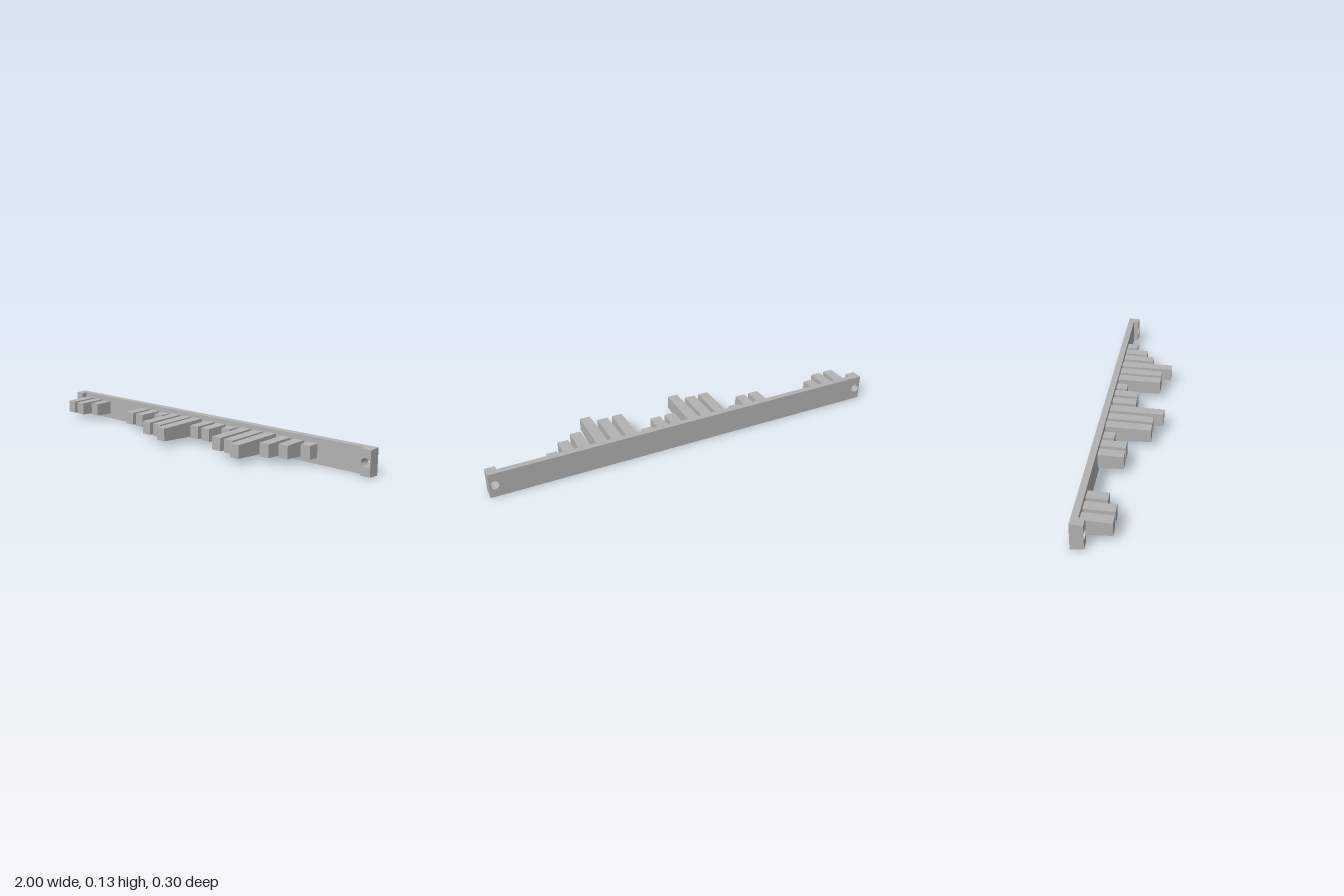
import * as THREE from 'three';

const BACK = -0.149, PLATE_FRONT = -0.118, END_FRONT = -0.09;
const MID_Y = 0.0635, HALF_H = 0.0635, HOLE_X = 0.975;

// Extruded slab with drilled holes, narrowing slightly towards the front
function taperedSlab(x0, x1, z0, z1, holeXs) {
  const shape = new THREE.Shape();
  shape.moveTo(x0, -HALF_H);
  shape.lineTo(x1, -HALF_H);
  shape.lineTo(x1, HALF_H);
  shape.lineTo(x0, HALF_H);
  shape.closePath();
  for (const x of holeXs) {
    shape.holes.push(new THREE.Path().absarc(x, 0, 0.0225, 0, Math.PI * 2, true));
  }
  const geo = new THREE.ExtrudeGeometry(shape, { depth: z1 - z0, bevelEnabled: false, curveSegments: 16 });
  geo.translate(0, 0, z0);
  const p = geo.attributes.position;
  for (let i = 0; i < p.count; i++) {
    p.setY(i, MID_Y + p.getY(i) * (1 - 0.95 * (p.getZ(i) - BACK)));
  }
  geo.computeVertexNormals();
  return geo;
}

// Square bar whose root is slightly taller and wider than its tip
function taperedBar(x, tip) {
  const length = tip - PLATE_FRONT;
  const geo = new THREE.BoxGeometry(0.052, 0.064, length).toNonIndexed();
  geo.translate(0, 0, PLATE_FRONT + length / 2);
  const p = geo.attributes.position;
  for (let i = 0; i < p.count; i++) {
    const d = tip - p.getZ(i);
    p.setX(i, x + p.getX(i) + Math.sign(p.getX(i)) * d * 0.008);
    p.setY(i, 0.0642 + p.getY(i) + Math.sign(p.getY(i)) * d * 0.036);
  }
  geo.computeVertexNormals();
  return geo;
}

export function createModel() {
  const model = new THREE.Group();
  model.name = 'barRail';
  const grey = new THREE.MeshStandardMaterial({ color: 0xb3b3b3 });
  grey.name = 'plainGrey';

  const add = (name, geo) => {
    const mesh = new THREE.Mesh(geo, grey);
    mesh.name = name;
    model.add(mesh);
  };

  // Long back plate with a screw hole at each end
  add('backPlate', taperedSlab(-1, 1, BACK, PLATE_FRONT, [-HOLE_X, HOLE_X]));

  // Thickened end blocks around the holes
  add('rightEndBlock', taperedSlab(-1, -0.95, PLATE_FRONT, END_FRONT, [-HOLE_X]));
  add('leftEndBlock', taperedSlab(0.95, 1, PLATE_FRONT, END_FRONT, [HOLE_X]));

  // Groups of three bars: first bar's x, then the z of each tip
  const groups = [
    [-0.91, [0.02, 0.02, -0.022]],
    [-0.433, [0.002, 0.002, -0.063]],
    [-0.193, [0.103, 0.103, 0.149]],
    [0.047, [0.002, 0.002, -0.063]],
    [0.287, [0.103, 0.103, 0.149]],
    [0.527, [0.044, 0.002, -0.063]],
  ];
  groups.forEach(([x, tips], g) => tips.forEach((tip, i) => {
    add(`bar${g + 1}_${i + 1}`, taperedBar(x + i * 0.076, tip));
  }));

  return model;
}
